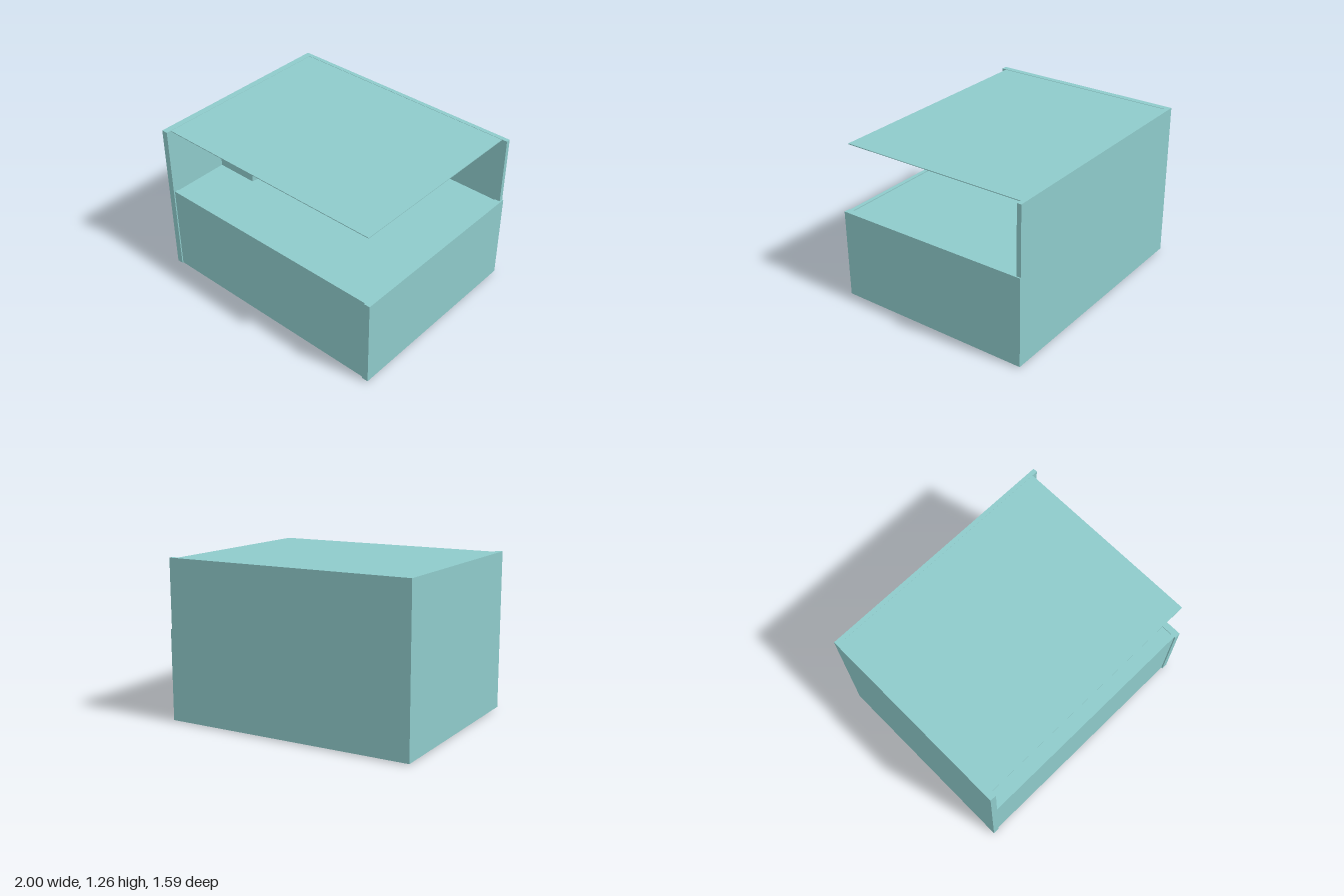
import * as THREE from 'three';

export function createModel() {
  const model = new THREE.Group();
  model.name = 'cutawayHouse';
  const material = new THREE.MeshStandardMaterial({ color: 0x8ecaca, flatShading: true });

  function add(name, geometry, parent = model) {
    const mesh = new THREE.Mesh(geometry, material);
    mesh.name = name;
    parent.add(mesh);
    return mesh;
  }

  // Box given by its limits on each axis
  function block(name, [x0, x1], [y0, y1], [z0, z1], parent) {
    const g = new THREE.BoxGeometry(x1 - x0, y1 - y0, z1 - z0);
    g.translate((x0 + x1) / 2, (y0 + y1) / 2, (z0 + z1) / 2);
    return add(name, g, parent);
  }

  // Side profile of [z, y] points, extruded along x
  function sideProfile(name, points, [x0, x1], parent) {
    const shape = new THREE.Shape(points.map(([z, y]) => new THREE.Vector2(-z, y)));
    const g = new THREE.ExtrudeGeometry(shape, { depth: x1 - x0, bevelEnabled: false });
    g.rotateY(Math.PI / 2);
    g.translate(x0, 0, 0);
    return add(name, g, parent);
  }

  const base = 0.01, low = 0.72, top = 1.26;

  // Outer walls: two full height, two cut at the upper floor
  block('leftSideTallWall', [-1, -0.95], [base, top], [-0.795, 0.79]);
  block('backTallWall', [-0.95, 0.99], [base, top], [-0.795, -0.76]);
  block('backWallEdge', [0.99, 1], [base, low], [-0.795, -0.76]);
  block('sideLowWall', [0.95, 1], [base, low], [-0.76, 0.79]);
  block('frontLowWall', [-0.95, 0.95], [base, low], [0.75, 0.78]);

  // Ground slab and thin roof panel
  block('groundFloor', [-0.99, 0.99], [0.008, 0.018], [-0.785, 0.775]);
  block('roofPanel', [-0.95, 0.945], [1.252, 1.258], [-0.76, 0.75]);

  // Upper floor with a stairwell opening
  const floorShape = new THREE.Shape();
  floorShape.moveTo(-0.95, -0.75).lineTo(0.95, -0.75).lineTo(0.95, 0.76).lineTo(-0.95, 0.76);
  const well = new THREE.Path();
  well.moveTo(-0.949, -0.26).lineTo(-0.949, 0.5).lineTo(-0.6, 0.5).lineTo(-0.6, -0.26);
  floorShape.holes.push(well);
  const floor = new THREE.ExtrudeGeometry(floorShape, { depth: 0.03, bevelEnabled: false });
  floor.rotateX(-Math.PI / 2);
  floor.translate(0, 0.682, 0);
  add('upperFloor', floor);

  // Ground floor partitions around the stairs
  block('stairPartition', [-0.62, -0.6], [0.005, 0.45], [-0.29, 0.27]);
  block('hallPartition', [-0.6, -0.39], [0.005, 0.69], [-0.3, -0.28]);
  block('backPartition', [-0.39, -0.37], [0.005, 0.69], [-0.76, -0.28]);
  block('underStairPlate', [-0.95, -0.63], [0, 0.012], [0, 0.27]);

  // Staircase climbing towards the front
  const stairs = new THREE.Group();
  stairs.name = 'staircase';
  model.add(stairs);
  const steps = 13, rise = 0.755 / steps, run = 0.0725;
  const foot = 0.285 - steps * run;
  const profile = [[foot, 0.018]];
  for (let i = 0; i < steps; i++) {
    const y = 0.018 + (i + 1) * rise;
    profile.push([foot + i * run, y], [foot + (i + 1) * run, y]);
  }
  profile.push([0.285, 0.68], [foot + 0.1, 0.018]);
  sideProfile('steps', profile, [-0.95, -0.62], stairs);
  sideProfile('stringer',
    [[foot, 0.018], [foot, 0.05], [0.262, 0.775], [0.285, 0.775], [0.285, 0.68], [foot + 0.1, 0.018]],
    [-0.62, -0.605], stairs);

  // Sloping handrail with evenly spaced balusters
  const railY = z => 0.952 + 0.8 * (z - 0.265);
  sideProfile('handrail',
    [[-0.6, railY(-0.6) - 0.012], [0.268, railY(0.268) - 0.01], [0.252, railY(0.252) + 0.024], [-0.6, railY(-0.6) + 0.019]],
    [-0.622, -0.6], stairs);
  for (let i = 0; i < 14; i++) {
    const z = 0.205 - i * 0.0575;
    block('baluster', [-0.616, -0.606], [Math.max(0.02, railY(z) - 0.2), railY(z)], [z - 0.006, z + 0.006], stairs);
  }

  return model;
}
